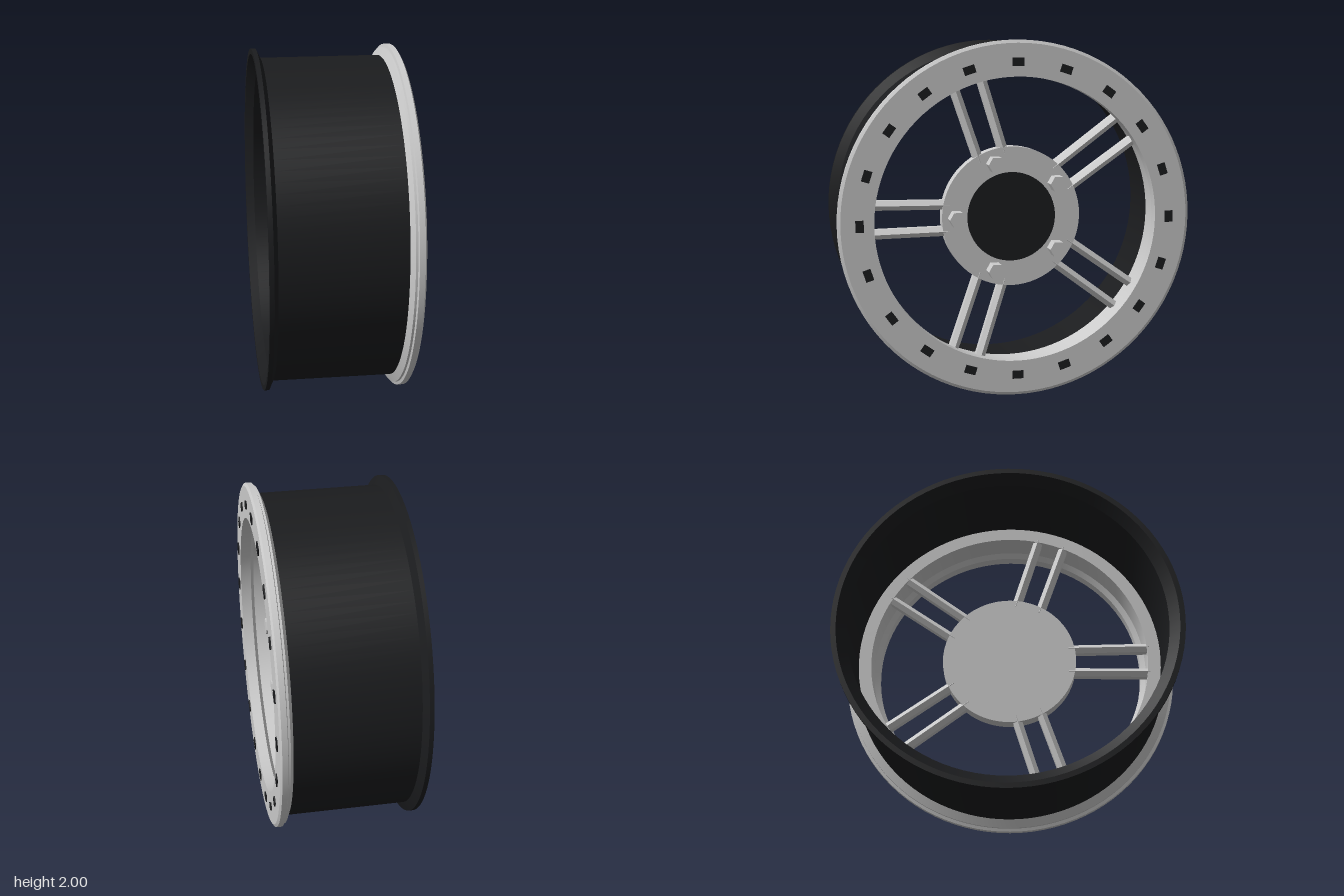
import * as THREE from 'three';
import { toCreasedNormals } from 'three/addons/utils/BufferGeometryUtils.js';

const metal = new THREE.MeshStandardMaterial({ color: 0xcccccc });
const black = new THREE.MeshStandardMaterial({ color: 0x1b1c1e });

function mesh(name, geometry, material, parent) {
  const m = new THREE.Mesh(geometry, material);
  m.name = name;
  parent.add(m);
  return m;
}

// Closed ring turned about z; profile points are [radius, z], counterclockwise
function turned(profile) {
  const pts = [...profile, profile[0]].map(([r, z]) => new THREE.Vector2(r, z));
  return toCreasedNormals(new THREE.LatheGeometry(pts, 96).rotateX(Math.PI / 2), 0.4);
}

// Disc or prism along z, standing between z0 and z1
function prism(radius, z0, z1, sides) {
  const g = new THREE.CylinderGeometry(radius, radius, z1 - z0, sides);
  return toCreasedNormals(g.rotateX(Math.PI / 2).translate(0, 0, (z0 + z1) / 2), 0.4);
}

// Ridged bar running along +x
function spokeGeometry(length) {
  const s = new THREE.Shape([
    [0, 0.042], [-0.027, 0.02], [-0.027, -0.02], [0, -0.042], [0.027, -0.02], [0.027, 0.02],
  ].map(([x, y]) => new THREE.Vector2(x, y)));
  const g = new THREE.ExtrudeGeometry(s, { depth: length, bevelEnabled: false });
  return g.rotateY(Math.PI / 2).rotateX(Math.PI / 2);
}

export function createModel() {
  const model = new THREE.Group();
  model.name = 'wheelRim';

  // The wheel is built facing +z, then turned to face +x
  const wheel = new THREE.Group();
  wheel.name = 'wheel';
  wheel.rotation.y = Math.PI / 2;
  wheel.position.y = 1;
  model.add(wheel);

  // Barrel with flared rear flange
  mesh('barrel', turned([
    [0.905, -0.36], [0.96, -0.41], [0.99, -0.41], [0.99, -0.385],
    [0.937, -0.36], [0.937, 0.325], [0.905, 0.325],
  ]), black, wheel);

  // Outer clamp ring with stepped inner seat
  mesh('clampRing', turned([
    [0.83, 0.15], [0.91, 0.15], [0.91, 0.325], [0.937, 0.325], [0.983, 0.345],
    [0.983, 0.357], [1, 0.362], [1, 0.393], [0.983, 0.403], [0.8, 0.403],
    [0.8, 0.34], [0.83, 0.32],
  ]), metal, wheel);

  // Ring bolts
  const boltGeometry = new THREE.BoxGeometry(0.045, 0.065, 0.03);
  for (let i = 0; i < 20; i++) {
    const a = (i * Math.PI) / 10;
    const bolt = mesh('ringBolt', boltGeometry, black, wheel);
    bolt.position.set(0.88 * Math.cos(a), 0.88 * Math.sin(a), 0.395);
    bolt.rotation.z = a;
  }

  // Hub disc and centre cap
  mesh('hub', prism(0.4, 0.15, 0.23, 64), metal, wheel);
  mesh('centreCap', prism(0.255, 0.2, 0.235, 64), black, wheel);

  // Five pairs of spokes with one lug nut each
  const spoke = spokeGeometry(0.485);
  const nut = prism(0.048, 0.2, 0.31, 6).rotateZ(Math.PI / 6);
  nut.computeBoundingBox();
  if (nut.boundingBox.max.x < nut.boundingBox.max.y) nut.rotateZ(Math.PI / 6);
  for (let i = 0; i < 5; i++) {
    const a = Math.PI + (i * 2 * Math.PI) / 5;
    const pair = new THREE.Group();
    pair.name = 'spokePair';
    pair.rotation.z = a;
    wheel.add(pair);
    for (const side of [-1, 1]) {
      const bar = mesh('spoke', spoke, metal, pair);
      bar.position.set(0.355, side * 0.075, 0.19);
      bar.rotation.z = side * 0.015;
    }
    const lug = mesh('lugNut', nut, metal, wheel);
    lug.position.set(0.32 * Math.cos(a), 0.32 * Math.sin(a), 0);
  }
  return model;
}
